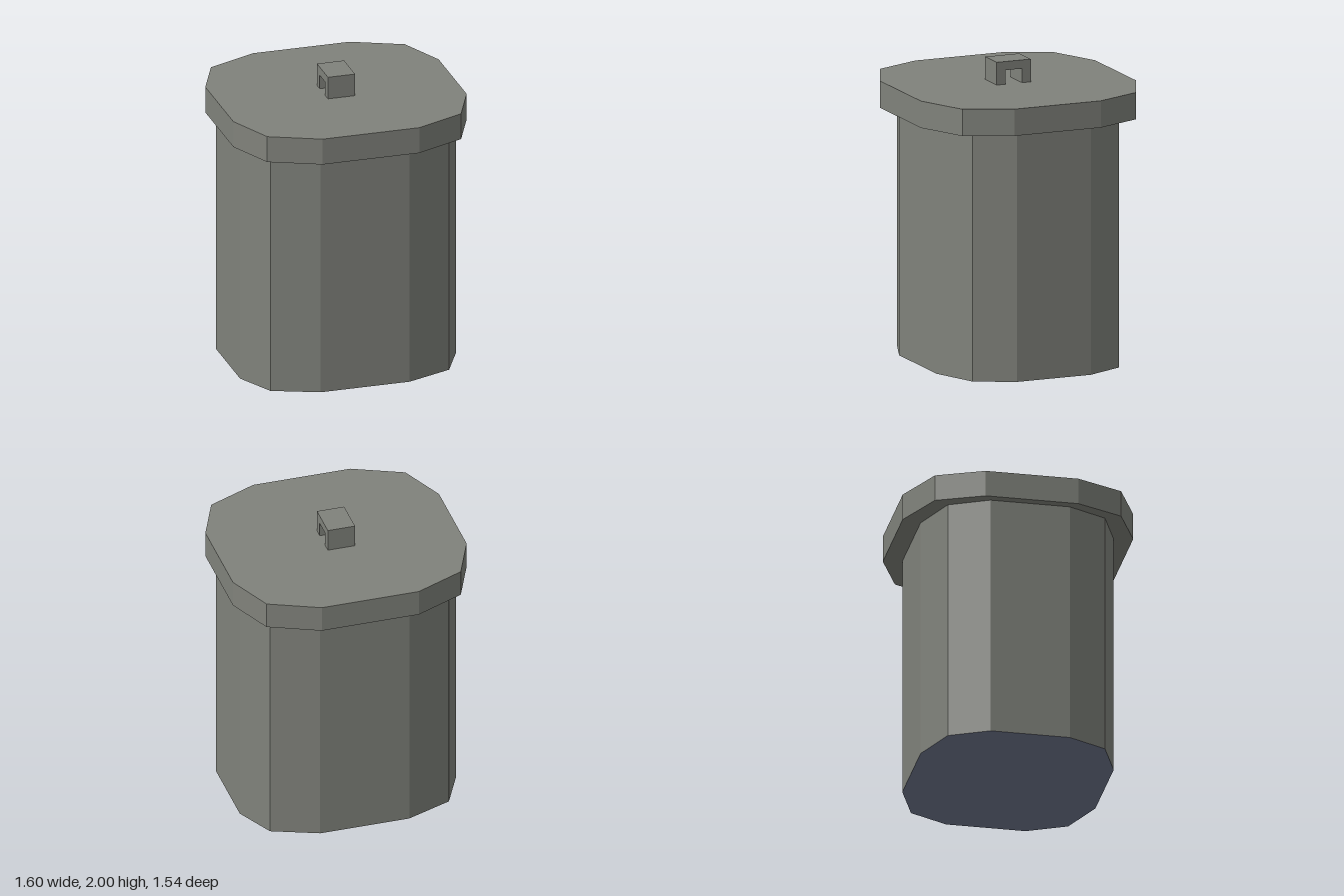
import * as THREE from 'three';

// Twelve-sided outline mirrored from three corners of one quadrant
function outline(corners) {
  const back = [...corners].reverse();
  const points = [
    ...corners,
    ...back.map(([x, z]) => [-x, z]),
    ...corners.map(([x, z]) => [-x, -z]),
    ...back.map(([x, z]) => [x, -z]),
  ];
  return new THREE.Shape(points.map(([x, z]) => new THREE.Vector2(x, z)));
}

// Upright prism between two heights
function prism(corners, bottom, top) {
  const geometry = new THREE.ExtrudeGeometry(outline(corners), { depth: top - bottom, bevelEnabled: false });
  return geometry.rotateX(-Math.PI / 2).translate(0, bottom, 0);
}

export function createModel() {
  const metal = new THREE.MeshStandardMaterial({ name: 'grey metal', color: 0x80827b });
  const underside = new THREE.MeshStandardMaterial({ name: 'blue grey base', color: 0x707890 });

  const group = new THREE.Group();
  group.name = 'trashCan';
  const add = (name, geometry, material) => {
    const mesh = new THREE.Mesh(geometry, material);
    mesh.name = name;
    group.add(mesh);
  };

  // Body: the end caps take the base colour, the walls the metal
  add('body', prism([[0.74, 0.265], [0.613, 0.525], [0.305, 0.645]], 0, 1.675), [underside, metal]);

  // Overhanging lid
  add('lid', prism([[0.8, 0.31], [0.665, 0.622], [0.332, 0.77]], 1.667, 1.847), metal);

  // Square arch handle, open from side to side
  const arch = new THREE.Shape([
    [-0.122, 1.84], [-0.06, 1.84], [-0.06, 1.942], [0.06, 1.942],
    [0.06, 1.84], [0.122, 1.84], [0.122, 2], [-0.122, 2],
  ].map(([z, y]) => new THREE.Vector2(z, y)));
  const handle = new THREE.ExtrudeGeometry(arch, { depth: 0.186, bevelEnabled: false });
  add('handle', handle.translate(0, 0, -0.093).rotateY(Math.PI / 2), metal);

  return group;
}
